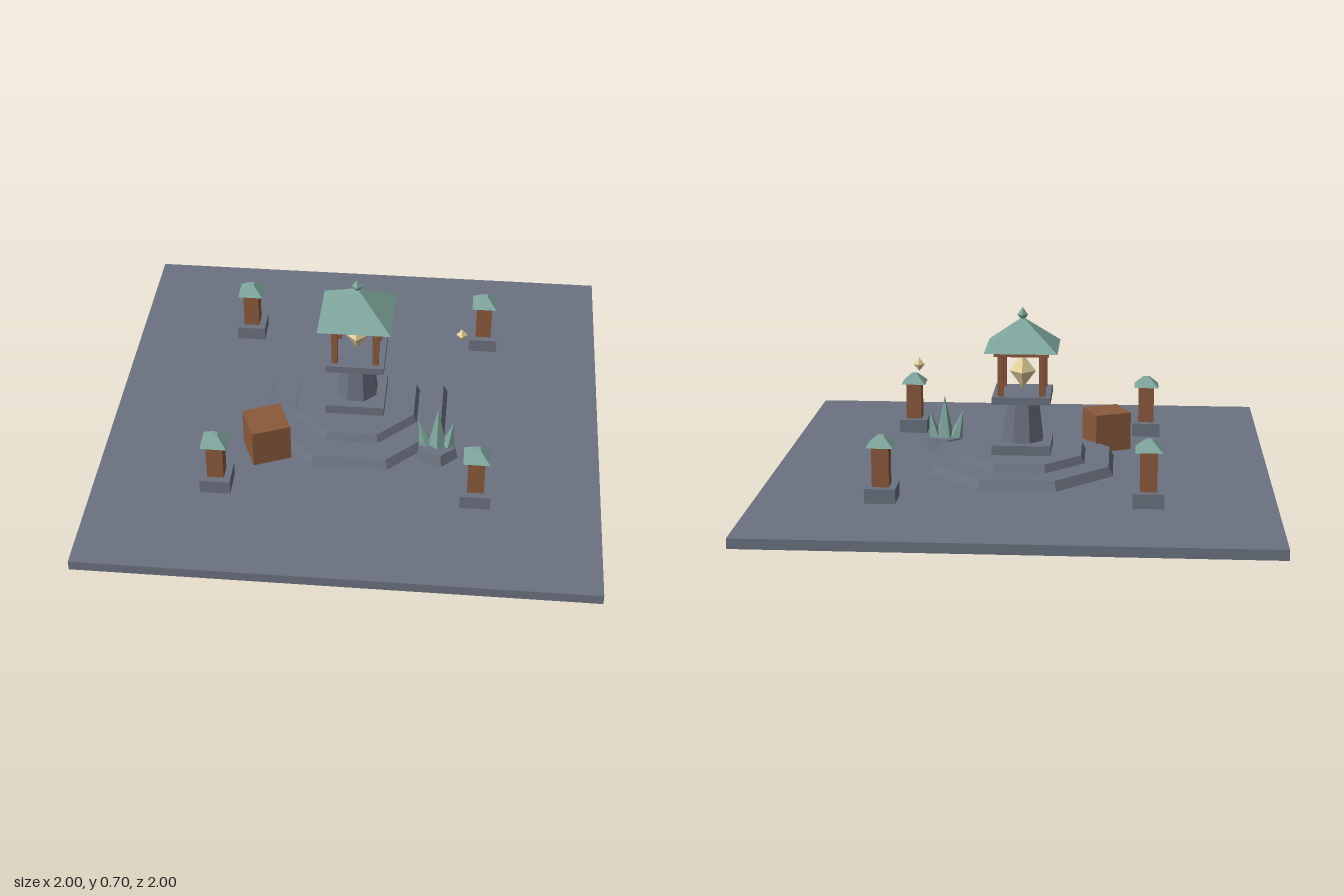
import * as THREE from 'three';

export function createModel() {
  const model = new THREE.Group();
  model.name = 'shrineCourtyard';

  const makeMaterial = (name, color) => {
    const m = new THREE.MeshStandardMaterial({ color });
    m.name = name;
    return m;
  };
  const stone = makeMaterial('slate stone', 0x6b7280);
  const wood = makeMaterial('brown wood', 0x8b5a3c);
  const teal = makeMaterial('weathered teal', 0x7fa69d);
  const glow = makeMaterial('pale gold crystal', 0xe6d29c);

  // Faceted mesh placed at x, y, z
  function add(parent, name, geometry, material, x = 0, y = 0, z = 0) {
    const flat = geometry.index ? geometry.toNonIndexed() : geometry;
    flat.computeVertexNormals();
    const mesh = new THREE.Mesh(flat, material);
    mesh.name = name;
    mesh.position.set(x, y, z);
    parent.add(mesh);
    return mesh;
  }

  // Box standing on y0, reaching y1
  function block(parent, name, material, w, y0, y1, x = 0, z = 0, d = w) {
    return add(parent, name, new THREE.BoxGeometry(w, y1 - y0, d), material, x, (y0 + y1) / 2, z);
  }

  // Tapered prism with a flat side to the front; half widths at bottom and top
  function frustum(parent, name, material, sides, bottom, top, y0, y1, x = 0, z = 0) {
    const k = 1 / Math.cos(Math.PI / sides);
    const g = new THREE.CylinderGeometry(top * k, bottom * k, y1 - y0, sides);
    g.rotateY(Math.PI / sides);
    return add(parent, name, g, material, x, (y0 + y1) / 2, z);
  }

  // Stretched octahedron
  function gem(parent, name, material, radius, halfHeight, x, y, z) {
    const g = new THREE.OctahedronGeometry(1, 0);
    g.scale(radius, halfHeight, radius);
    return add(parent, name, g, material, x, y, z);
  }

  // Ground and octagonal steps
  block(model, 'ground', stone, 2, 0, 0.04);
  frustum(model, 'lowerStep', stone, 8, 0.372, 0.355, 0.04, 0.078);
  frustum(model, 'upperStep', stone, 8, 0.256, 0.242, 0.078, 0.11);

  // Central shrine
  const shrine = new THREE.Group();
  shrine.name = 'shrine';
  model.add(shrine);
  block(shrine, 'plinth', stone, 0.24, 0.11, 0.15);
  frustum(shrine, 'pillar', stone, 8, 0.082, 0.064, 0.15, 0.32);
  block(shrine, 'capital', stone, 0.235, 0.32, 0.35);
  for (const sx of [-1, 1])
    for (const sz of [-1, 1])
      block(shrine, 'roofPost', wood, 0.025, 0.35, 0.515, sx * 0.083, sz * 0.083);
  block(shrine, 'roofBeam', wood, 0.22, 0.515, 0.535);
  frustum(shrine, 'roof', teal, 4, 0.147, 0.004, 0.535, 0.655);
  gem(shrine, 'finial', teal, 0.022, 0.03, 0, 0.668, 0);
  gem(shrine, 'largeCrystal', glow, 0.053, 0.072, 0, 0.435, 0);

  // Floating crystal beside the shrine
  gem(model, 'floatingCrystal', glow, 0.023, 0.028, 0.423, 0.456, 0);

  // Corner lanterns
  for (const sx of [-1, 1])
    for (const sz of [-1, 1]) {
      const lantern = new THREE.Group();
      lantern.name = 'lantern';
      lantern.position.set(sx * 0.51, 0, sz * 0.51);
      model.add(lantern);
      block(lantern, 'lanternBase', stone, 0.12, 0.04, 0.098);
      block(lantern, 'lanternPost', wood, 0.066, 0.098, 0.256);
      frustum(lantern, 'lanternRoof', teal, 4, 0.052, 0.012, 0.256, 0.296);
    }

  // Crate
  block(model, 'crate', wood, 0.157, 0.04, 0.2, -0.34, 0.29).rotation.y = 0.4;

  // Spiky plant on a hexagonal rock
  const cluster = new THREE.Group();
  cluster.name = 'spikeCluster';
  cluster.position.set(0.347, 0, 0.247);
  model.add(cluster);
  add(cluster, 'rock', new THREE.CylinderGeometry(0.075, 0.09, 0.045, 6), stone, 0, 0.0625, 0).rotation.y = 0.23;
  const spikes = [
    // base x, radius, height, lean
    [-0.045, 0.03, 0.13, 0.26],
    [0, 0.04, 0.185, 0],
    [0.042, 0.03, 0.125, -0.18],
  ];
  for (const [x, radius, height, lean] of spikes) {
    const g = new THREE.ConeGeometry(radius, height, 5);
    g.translate(0, height / 2, 0);
    add(cluster, 'spike', g, teal, x, 0.078, -0.005).rotation.z = lean;
  }

  return model;
}
